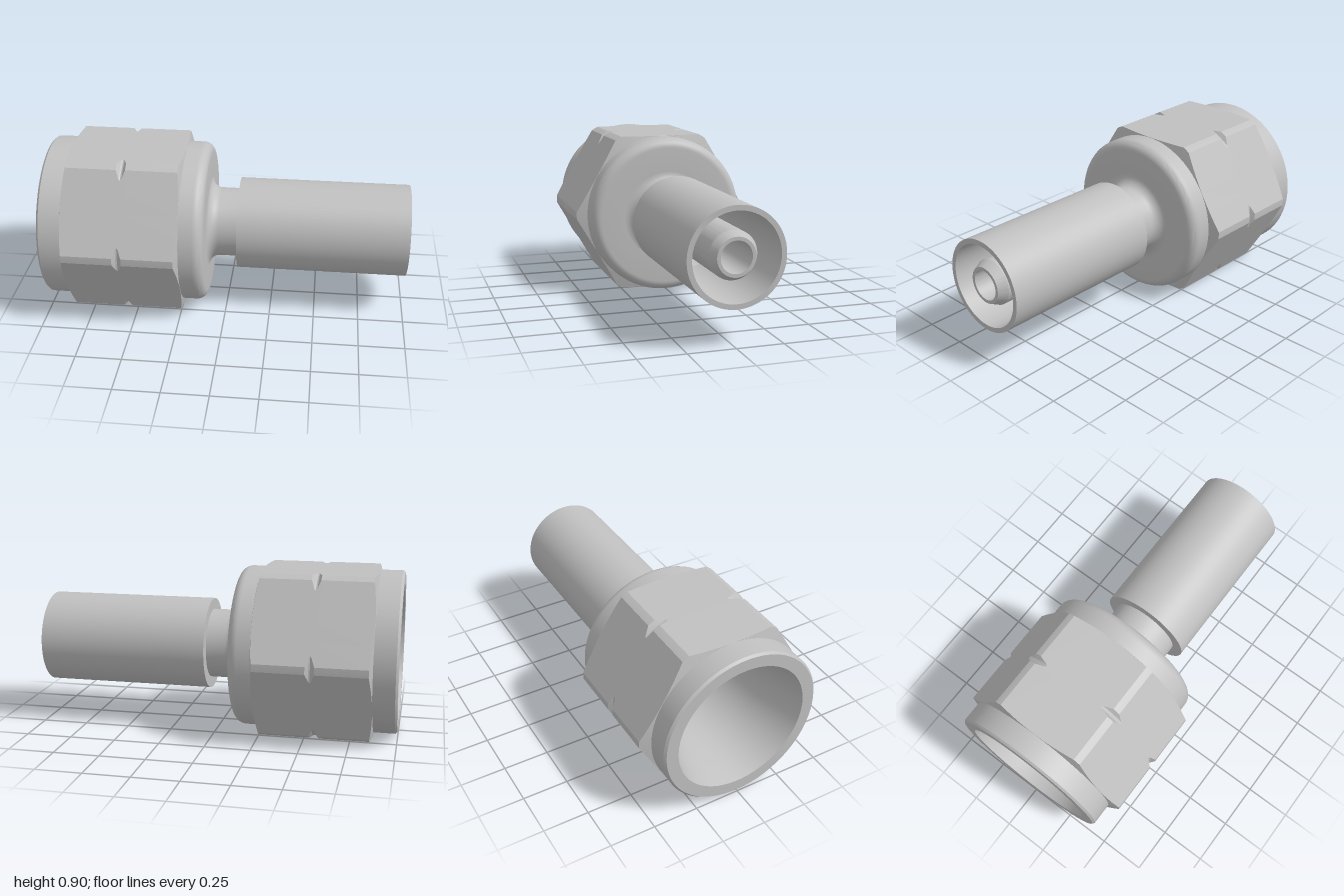
import * as THREE from 'three';
import { toCreasedNormals } from 'three/addons/utils/BufferGeometryUtils.js';

const AXIS_Y = 0.45;
const APOTHEM = 0.45;   // hexagon flats
const CORNER = 0.508;   // turned hexagon corners
const HOLE = 0.082;     // through bore

// Quarter arc in (radius, x), from angle a0 to a1
function arc(cr, cx, rad, a0, a1, n = 8) {
  return Array.from({ length: n + 1 }, (_, i) => {
    const a = a0 + (a1 - a0) * i / n;
    return [cr + rad * Math.cos(a), cx + rad * Math.sin(a)];
  });
}

// Profile of [radius, x] points turned about the x axis
function turned(points) {
  const g = new THREE.LatheGeometry(points.map(([r, x]) => new THREE.Vector2(r, x)), 96);
  g.rotateZ(-Math.PI / 2);
  return toCreasedNormals(g, 0.45);
}

// Hexagonal prism limited by a turned envelope (chamfered ends, corner groove)
function hexagon() {
  const rings = [];
  const chamfer = (x0, r0, x1, r1, n) => {
    for (let i = 0; i <= n; i++) {
      const t = i / n;
      rings.push([x0 + (x1 - x0) * t, r0 + (r1 - r0) * t]);
    }
  };
  chamfer(-0.872, 0.447, -0.855, CORNER, 10);
  chamfer(-0.579, CORNER, -0.562, 0.487, 5);
  rings.push([-0.554, 0.484]);
  chamfer(-0.546, 0.487, -0.529, CORNER, 5);
  chamfer(-0.25, CORNER, -0.233, 0.447, 10);

  const FLAT = 4, ARC = 8, row = 6 * (FLAT + ARC);
  const pos = [], index = [];
  for (const [x, limit] of rings) {
    const b = Math.acos(Math.min(1, APOTHEM / limit)); // half angle of the flat
    for (let s = 0; s < 6; s++) {
      const mid = Math.PI / 2 + s * Math.PI / 3;
      for (let k = 0; k < FLAT + ARC; k++) {
        const a = k < FLAT
          ? -b + 2 * b * k / FLAT
          : b + (Math.PI / 3 - 2 * b) * (k - FLAT) / ARC;
        const r = k <= FLAT ? Math.min(limit, APOTHEM / Math.cos(a)) : limit;
        pos.push(x, r * Math.sin(mid + a), r * Math.cos(mid + a));
      }
    }
  }
  for (let i = 0; i < rings.length - 1; i++) {
    for (let j = 0; j < row; j++) {
      const a = i * row + j, c = i * row + (j + 1) % row;
      index.push(a, a + row, c, c, a + row, c + row);
    }
  }
  const g = new THREE.BufferGeometry();
  g.setAttribute('position', new THREE.Float32BufferAttribute(pos, 3));
  g.setIndex(index);
  return toCreasedNormals(g, 0.2);
}

export function createModel() {
  const model = new THREE.Group();
  model.name = 'hoseFitting';
  const steel = new THREE.MeshStandardMaterial({ color: 0xc0c0c0 });
  steel.name = 'steel grey';

  const add = (name, geometry) => {
    const mesh = new THREE.Mesh(geometry, steel);
    mesh.name = name;
    mesh.position.y = AXIS_Y;
    model.add(mesh);
  };

  // Nut shell with its flared socket and rounded shoulder
  add('nutBody', turned([
    [HOLE, -0.4], [0.3, -0.4], [0.3, -0.72], [0.37, -1], [0.437, -1], [0.448, -0.988],
    ...arc(0.393, -0.16, 0.055, 0, Math.PI / 2),
    [0.253, -0.105],
  ]));

  // Spanner flats
  add('nutHexagon', hexagon());

  // Filleted neck
  add('neck', turned([
    ...arc(0.253, -0.045, 0.06, -Math.PI / 2, -Math.PI),
    [0.193, 0.06],
  ]));

  // Hollow sleeve with a tapered floor
  add('sleeve', turned([
    [0.193, 0.06], [0.255, 0.06], [0.255, 1], [0.228, 1],
    [0.228, 0.24], [0.195, 0.2], [0.125, 0.2],
  ]));

  // Inner spigot and through bore
  add('spigot', turned([
    [0.125, 0.2], [0.125, 0.94], [0.1, 0.99], [HOLE, 0.99], [HOLE, -0.4],
  ]));

  return model;
}
